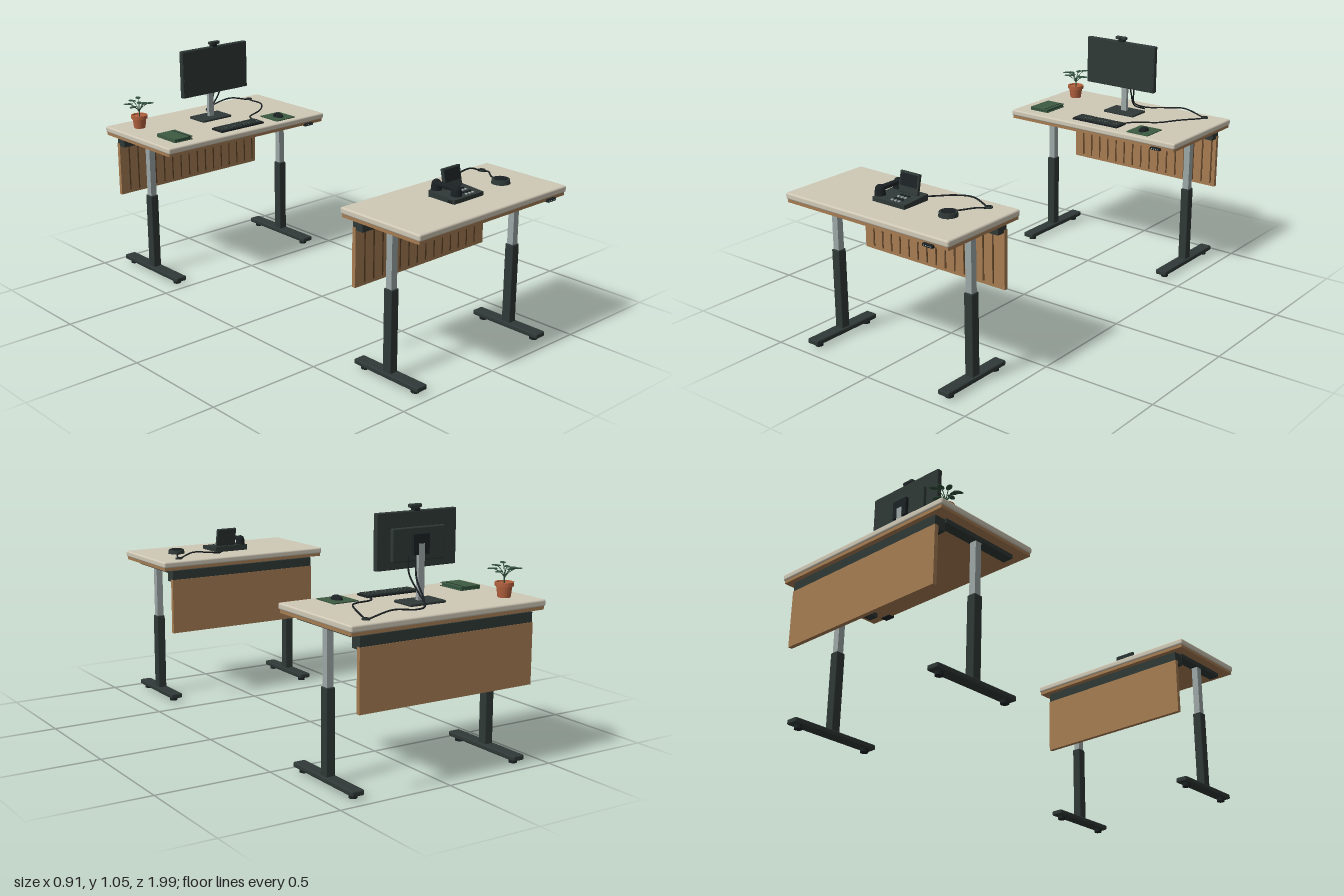
import * as THREE from 'three';
import { RoundedBoxGeometry } from 'three/addons/geometries/RoundedBoxGeometry.js';

const mat = (name, color, side = THREE.FrontSide) => {
  const m = new THREE.MeshStandardMaterial({ color, side });
  m.name = name;
  return m;
};
const M = {
  top: mat('cream laminate', 0xcfc8b6),
  wood: mat('oak', 0xa67c52),
  groove: mat('dark oak', 0x5f4429),
  frame: mat('charcoal', 0x2f3937),
  steel: mat('brushed steel', 0x9ca7a6),
  black: mat('soft black', 0x1b2123),
  green: mat('moss green', 0x3c5b42),
  leaf: mat('leaf green', 0x33523f, THREE.DoubleSide),
  clay: mat('terracotta', 0xb5623f),
};
const TOP = 0.673; // work surface height

function add(parent, name, geo, material, x = 0, y = 0, z = 0) {
  const m = new THREE.Mesh(geo, material);
  m.name = name;
  m.position.set(x, y, z);
  parent.add(m);
  return m;
}
const group = (parent, name, x = 0, y = 0, z = 0) => {
  const g = new THREE.Group();
  g.name = name;
  g.position.set(x, y, z);
  parent.add(g);
  return g;
};
const box = (w, h, d) => new THREE.BoxGeometry(w, h, d);
const rbox = (w, h, d, r) => new RoundedBoxGeometry(w, h, d, 2, r);
const cyl = (r1, r2, h, n = 24) => new THREE.CylinderGeometry(r1, r2, h, n);
function cable(parent, name, pts, r = 0.0035) {
  const curve = new THREE.CatmullRomCurve3(pts.map(p => new THREE.Vector3(...p)));
  add(parent, name, new THREE.TubeGeometry(curve, 40, r, 8), M.black);
}

// Height-adjustable desk; positions are relative to the desk centre
function desk(parent, name, o) {
  const g = group(parent, name, 0, 0, o.z);
  add(g, 'desktop', rbox(o.w, 0.028, o.d, 0.008), M.top, 0, TOP - 0.014, 0);
  add(g, 'desktopCore', box(o.w - 0.012, 0.014, o.d - 0.012), M.wood, 0, 0.639, 0);

  // Telescopic legs on T feet
  for (const s of [-1, 1]) {
    const leg = group(g, s > 0 ? 'leftLeg' : 'rightLeg', s * o.legX, 0, 0.004);
    add(leg, 'foot', rbox(0.055, 0.022, o.foot, 0.006), M.frame, 0, 0.026, 0);
    for (const e of [-1, 1])
      add(leg, 'glide', cyl(0.017, 0.017, 0.016, 16), M.black, 0, 0.008, e * (o.foot / 2 - 0.037));
    add(leg, 'outerColumn', rbox(0.04, 0.352, 0.042, 0.004), M.frame, 0, 0.209, 0);
    add(leg, 'innerColumn', box(0.03, 0.24, 0.03), M.steel, 0, 0.497, 0);
    add(leg, 'topBracket', box(0.046, 0.02, o.foot - 0.05), M.frame, 0, 0.623, 0);
  }

  // Cable tray and modesty panel along the back edge
  const back = -o.d / 2;
  add(g, 'cableTray', box(o.legX * 2 + 0.036, 0.052, 0.052), M.frame, 0, 0.6, back + 0.046);
  const pw = o.w - 0.1, pz = back + 0.027;
  add(g, 'modestyPanel', box(pw, 0.25, 0.018), M.wood, 0, 0.46, pz);
  for (let x = -pw / 2 + 0.0495; x < pw / 2 - 0.008; x += 0.0495)
    add(g, 'panelGroove', box(0.007, 0.226, 0.003), M.groove, x, 0.462, pz + 0.0095);

  // Height controller under the front edge
  const c = group(g, 'heightController', o.ctrlX, 0.634, o.d / 2 - 0.01);
  add(c, 'controllerBody', rbox(0.05, 0.013, 0.032, 0.003), M.black);
  for (let i = 0; i < 4; i++)
    add(c, 'controllerButton', box(0.005, 0.004, 0.002), M.steel, -0.016 + i * 0.0107, 0, 0.0162);
  return g;
}

function monitor(parent) {
  const g = group(parent, 'monitor', -0.002, 0, 0);
  add(g, 'standBase', rbox(0.168, 0.011, 0.11, 0.004), M.frame, 0, TOP + 0.0055, -0.788);
  add(g, 'standColumn', box(0.028, 0.22, 0.016), M.steel, 0, TOP + 0.12, -0.787);
  add(g, 'mountPlate', box(0.075, 0.08, 0.016), M.black, 0, 0.9, -0.786);
  add(g, 'screenCase', rbox(0.376, 0.22, 0.024, 0.004), M.frame, 0, 0.916, -0.752);
  add(g, 'backCover', rbox(0.25, 0.13, 0.02, 0.005), M.frame, 0, 0.9, -0.769);
  add(g, 'screen', box(0.364, 0.206, 0.002), M.frame, 0, 0.918, -0.74);
  add(g, 'statusLight', box(0.005, 0.002, 0.002), M.steel, 0.166, 0.809, -0.7395);
  add(g, 'webcamClip', box(0.026, 0.012, 0.026), M.black, 0, 1.03, -0.752);
  add(g, 'webcam', rbox(0.056, 0.015, 0.022, 0.005), M.frame, 0, 1.043, -0.746);
  add(g, 'webcamLens', cyl(0.005, 0.005, 0.003, 16), M.black, 0, 1.043, -0.735).rotation.x = Math.PI / 2;
}

function keyboard(parent) {
  const g = group(parent, 'keyboard', -0.004, TOP, -0.576);
  add(g, 'keyboardBody', rbox(0.25, 0.009, 0.076, 0.003), M.black, 0, 0.0045, 0);
  for (let r = 0; r < 4; r++)
    for (let i = 0; i < 15; i++)
      add(g, 'key', box(0.0125, 0.004, 0.0125), M.frame, -0.112 + i * 0.016, 0.0105, -0.025 + r * 0.0165);
  for (let i = 0; i < 14; i++)
    add(g, 'keyMark', box(0.003, 0.001, 0.002), M.steel, -0.104 + i * 0.016, 0.0128, 0.008);
}

function plant(parent) {
  const g = group(parent, 'pottedPlant', -0.35, TOP, -0.872);
  const profile = [[0, 0], [0.026, 0], [0.032, 0.045], [0.038, 0.045], [0.038, 0.061], [0.032, 0.061], [0.031, 0.054], [0, 0.054]];
  const pts = profile.map(p => new THREE.Vector2(...p));
  const pot = new THREE.LatheGeometry(pts, 20).toNonIndexed();
  pot.computeVertexNormals();
  add(g, 'pot', pot, M.clay);
  const trunk = [[0, 0.05, 0], [0.002, 0.075, 0], [0, 0.095, 0]].map(p => new THREE.Vector3(...p));
  add(g, 'stem', new THREE.TubeGeometry(new THREE.CatmullRomCurve3(trunk), 8, 0.003, 6), M.leaf);
  const n = 8;
  for (let i = 0; i < n; i++) {
    const arm = group(g, 'leafBranch');
    arm.rotation.y = i * Math.PI * 2 / n + 0.25;
    const h = 0.106 + 0.024 * ((i * 3) % 4) / 3, r = i % 2 ? 0.048 : 0.04;
    const curve = new THREE.QuadraticBezierCurve3(new THREE.Vector3(0, 0.075, 0), new THREE.Vector3(0.012, h - 0.01, 0), new THREE.Vector3(r, h, 0));
    add(arm, 'twig', new THREE.TubeGeometry(curve, 8, 0.0016, 5), M.leaf);
    const leaf = add(arm, 'leaf', new THREE.SphereGeometry(1, 10, 6), M.leaf, r, h, 0);
    leaf.scale.set(0.022, 0.003, 0.012);
  }
}

function notebook(parent) {
  const g = group(parent, 'notebook', -0.334, TOP, -0.618);
  add(g, 'backCover', box(0.098, 0.003, 0.136), M.green, 0, 0.0015, 0);
  add(g, 'pages', box(0.09, 0.01, 0.13), M.leaf, -0.002, 0.008, 0);
  add(g, 'frontCover', box(0.098, 0.003, 0.136), M.green, 0, 0.0145, 0);
  add(g, 'spine', box(0.003, 0.016, 0.136), M.green, -0.0475, 0.008, 0);
  add(g, 'elasticBand', box(0.003, 0.001, 0.136), M.black, 0.032, 0.0165, 0);
}

function phone(parent) {
  const g = group(parent, 'deskPhone', 0, TOP, 0);
  // Wedge-shaped body, higher at the back
  const body = box(0.168, 0.026, 0.136);
  const p = body.attributes.position;
  for (let i = 0; i < p.count; i++) if (p.getY(i) > 0 && p.getZ(i) > 0) p.setY(i, 0.004);
  body.computeVertexNormals();
  add(g, 'phoneBody', body, M.frame, -0.002, 0.013, 0.779);
  const display = add(g, 'phoneDisplay', rbox(0.1, 0.085, 0.014, 0.003), M.frame, 0.014, 0.065, 0.739);
  display.rotation.x = -0.2;
  add(display, 'phoneScreen', box(0.086, 0.05, 0.002), M.black, 0, 0.01, 0.0066);
  for (let r = 0; r < 4; r++)
    for (let c = 0; c < 3; c++)
      add(g, 'phoneKey', box(0.01, 0.004, 0.009), r % 2 ? M.steel : M.black, 0.003 + c * 0.018, 0.0245 - r * 0.0016, 0.775 + r * 0.018);
  // Handset resting on the model's right side
  const h = group(g, 'handset', -0.058, 0.045, 0.779);
  add(h, 'handsetGrip', rbox(0.026, 0.018, 0.12, 0.007), M.black, 0, 0.008, 0);
  for (const e of [-1, 1]) {
    add(h, 'handsetEar', cyl(0.02, 0.022, 0.024), M.black, 0, -0.006, e * 0.052);
    add(h, 'handsetCap', new THREE.SphereGeometry(0.02, 16, 10), M.black, 0, 0.005, e * 0.052);
  }
  // Coiled cord beside the handset
  const coil = [];
  for (let i = 0; i <= 90; i++) {
    const a = i * 0.9;
    coil.push(new THREE.Vector3(-0.088 + 0.005 * Math.cos(a), 0.008 + 0.005 * Math.sin(a), 0.82 + i * 0.0002));
  }
  add(g, 'coiledCord', new THREE.TubeGeometry(new THREE.CatmullRomCurve3(coil), 180, 0.0015, 5), M.black);
}

function grommet(parent, x, z) {
  add(parent, 'cableGrommet', cyl(0.016, 0.016, 0.006), M.frame, x, TOP + 0.003, z);
  add(parent, 'grommetHole', cyl(0.01, 0.01, 0.002), M.black, x, TOP + 0.0065, z);
}

export function createModel() {
  const model = new THREE.Group();
  model.name = 'workstations';

  // Front desk with phone
  desk(model, 'frontDesk', { w: 0.85, d: 0.42, z: 0.779, legX: 0.355, foot: 0.347, ctrlX: 0.329 });
  phone(model);
  const puck = group(model, 'speakerPuck', 0.254, TOP, 0.79);
  add(puck, 'puckBody', cyl(0.036, 0.039, 0.018, 32), M.frame, 0, 0.009, 0);
  add(puck, 'puckGrille', cyl(0.028, 0.028, 0.003, 32), M.black, 0, 0.0195, 0);
  grommet(model, 0.32, 0.632);
  cable(model, 'phoneCable', [[0.06, 0.685, 0.716], [0.085, 0.679, 0.665], [0.16, 0.69, 0.634], [0.25, 0.698, 0.63], [0.32, 0.672, 0.632]]);
  cable(model, 'puckCable', [[0.255, 0.682, 0.755], [0.275, 0.682, 0.72], [0.305, 0.684, 0.68], [0.32, 0.672, 0.634]]);

  // Back desk with computer
  desk(model, 'backDesk', { w: 0.914, d: 0.504, z: -0.745, legX: 0.387, foot: 0.417, ctrlX: 0.36 });
  monitor(model);
  keyboard(model);
  notebook(model);
  plant(model);
  add(model, 'mousePad', box(0.114, 0.004, 0.122), M.green, 0.242, TOP + 0.002, -0.582);
  add(model, 'mouse', new THREE.SphereGeometry(1, 20, 10, 0, Math.PI * 2, 0, Math.PI / 2), M.black, 0.242, TOP + 0.003, -0.578).scale.set(0.02, 0.019, 0.032);
  grommet(model, 0.352, -0.937);
  cable(model, 'monitorCable', [[0.05, 0.86, -0.778], [0.05, 0.79, -0.785], [0.03, 0.72, -0.82], [0.05, 0.685, -0.89], [0.13, 0.686, -0.937], [0.24, 0.698, -0.944], [0.352, 0.672, -0.937]]);
  cable(model, 'powerCable', [[0.02, 0.84, -0.785], [0.025, 0.77, -0.8], [0.02, 0.7, -0.84], [0.05, 0.678, -0.885]]);
  cable(model, 'keyboardCable', [[0.112, 0.68, -0.612], [0.14, 0.678, -0.665], [0.24, 0.684, -0.71], [0.3, 0.69, -0.775], [0.352, 0.672, -0.935]]);
  return model;
}
